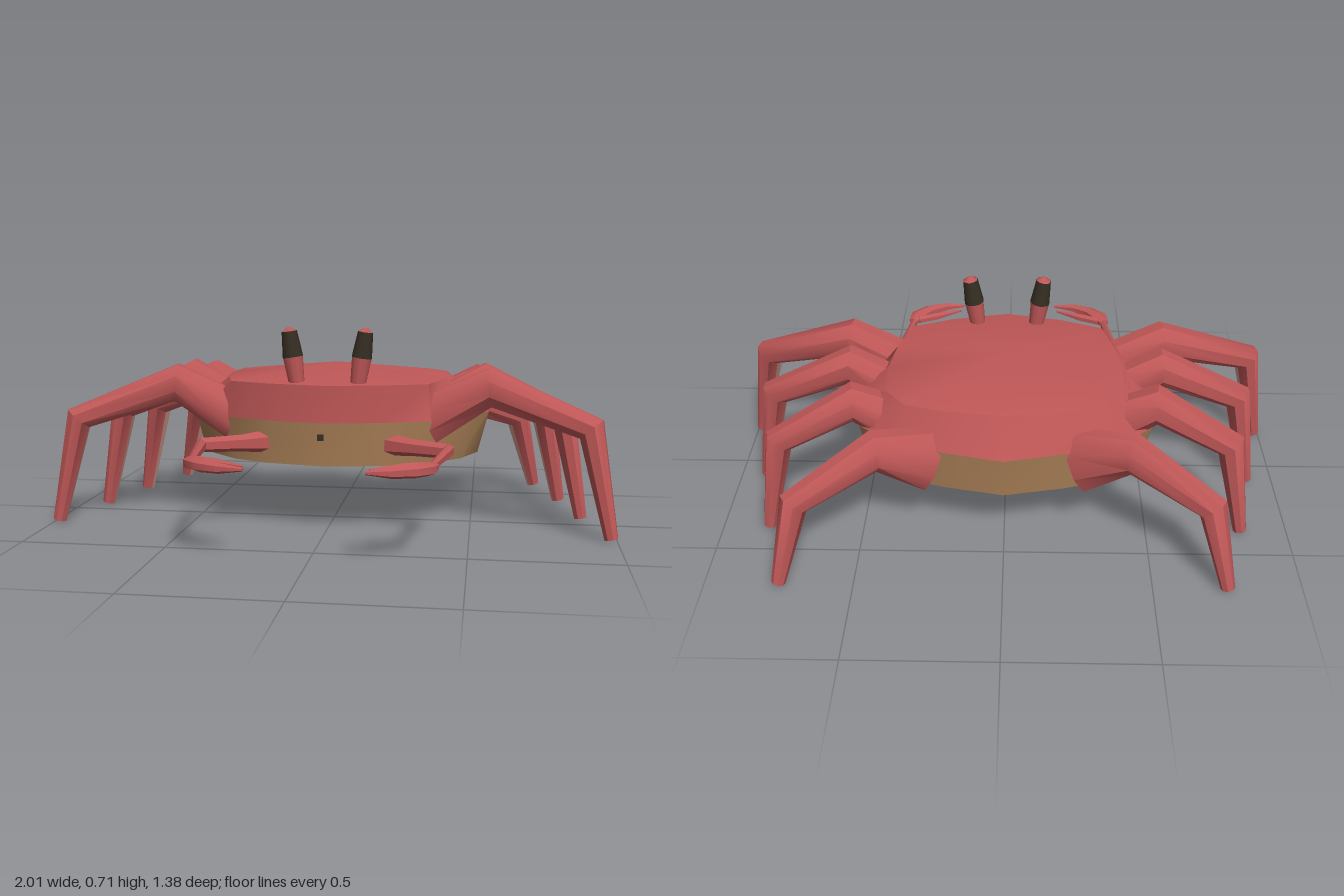
import * as THREE from 'three';
import { toCreasedNormals } from 'three/addons/utils/BufferGeometryUtils.js';

const mat = (name, color) => {
  const m = new THREE.MeshStandardMaterial({ color, side: THREE.DoubleSide });
  m.name = name;
  return m;
};
const V = (x, y, z) => new THREE.Vector3(x, y, z);

// Skin between rings of points (counter-clockwise about the direction of travel).
// Strip number `strip` of each ring takes the second material.
function loft(rings, { capStart = false, capEnd = false, strip = -1, crease = 0.75 } = {}) {
  const n = rings[0].length, main = [], second = [];
  for (let i = 0; i < rings.length - 1; i++) {
    for (let j = 0; j < n; j++) {
      const k = (j + 1) % n, a = rings[i], b = rings[i + 1];
      const out = j === strip ? second : main;
      if (a[j].distanceTo(a[k]) > 1e-6) out.push(a[j], a[k], b[k]);
      if (b[j].distanceTo(b[k]) > 1e-6) out.push(a[j], b[k], b[j]);
    }
  }
  const cap = (ring, flip) => {
    for (let j = 1; j < n - 1; j++) {
      main.push(ring[0], ring[flip ? j + 1 : j], ring[flip ? j : j + 1]);
    }
  };
  if (capStart) cap(rings[0], true);
  if (capEnd) cap(rings[rings.length - 1], false);
  const g = new THREE.BufferGeometry().setFromPoints([...main, ...second]);
  g.addGroup(0, main.length, 0);
  if (second.length) g.addGroup(main.length, second.length, 1);
  return toCreasedNormals(g, crease);
}

// Tapered limb through stations [x, y, z, halfWidth, halfHeight]; side = 1 or -1 mirrors x
function limb(stations, side, sides, opts = {}) {
  const pts = stations.map(([x, y, z]) => V(x * side, y, z));
  const last = pts.length - 1;
  const across = V(0, 1, 0).cross(pts[last].clone().sub(pts[0])).normalize();
  const rings = pts.map((p, i) => {
    const t = V(0, 0, 0);
    if (i > 0) t.add(p.clone().sub(pts[i - 1]).normalize());
    if (i < last) t.add(pts[i + 1].clone().sub(p).normalize());
    t.normalize();
    const u = across.clone().addScaledVector(t, -across.dot(t)).normalize();
    const v = t.clone().cross(u);
    const [, , , w, h] = stations[i];
    return Array.from({ length: sides }, (_, j) => {
      const a = ((j + 0.5) / sides) * Math.PI * 2;
      const q = p.clone().addScaledVector(u, Math.cos(a) * w).addScaledVector(v, Math.sin(a) * h);
      q.y = Math.max(q.y, 0);
      return q;
    });
  });
  return loft(rings, { capStart: true, capEnd: true, ...opts });
}

// Full body ring from the right half outline [x, z], front to back
function bodyRing(half, y) {
  const inner = half.slice(1, -1).reverse();
  return [...half.map(([x, z]) => V(x, y, z)), ...inner.map(([x, z]) => V(-x, y, z))];
}

export function createModel() {
  const red = mat('shell red', 0xbf5757);
  const tan = mat('belly tan', 0xa67d55);
  const dark = mat('eye dark', 0x352e22);
  const pale = mat('pale pink', 0xd39c90);
  const model = new THREE.Group();
  model.name = 'crab';
  const add = (name, geometry, material, parent = model) => {
    const m = new THREE.Mesh(geometry, material);
    m.name = name;
    parent.add(m);
    return m;
  };

  // Body: tan belly below, red shell above
  const low = bodyRing([[0, 0.24], [0.2, 0.2], [0.34, 0.14], [0.46, 0.02], [0.52, -0.12],
    [0.47, -0.29], [0.34, -0.4], [0.2, -0.44], [0, -0.48]], 0.237);
  const mid = bodyRing([[0, 0.252], [0.2, 0.21], [0.36, 0.15], [0.49, 0.02], [0.56, -0.12],
    [0.5, -0.3], [0.36, -0.41], [0.2, -0.45], [0, -0.495]], 0.39);
  const rim = bodyRing([[0, 0.25], [0.2, 0.208], [0.35, 0.15], [0.39, 0.01], [0.41, -0.13],
    [0.4, -0.28], [0.33, -0.36], [0.2, -0.395], [0, -0.42]], 0.52);
  const pole = y => low.map(() => V(0, y, -0.1));
  add('belly', loft([pole(0.205), low, mid]), tan);
  add('shell', loft([mid, rim, pole(0.57)]), red);
  const mouth = add('mouth', new THREE.BoxGeometry(0.022, 0.022, 0.008), dark);
  mouth.position.set(-0.015, 0.34, 0.248);

  // Walking legs, front to back: root, knee, ankle, foot
  const legs = [
    [[0.34, 0.38, 0.085, 0.065, 0.09], [0.565, 0.505, 0.095, 0.062, 0.072],
      [0.905, 0.38, 0.185, 0.05, 0.052], [0.98, 0.008, 0.215, 0.024, 0.024]],
    [[0.36, 0.38, -0.09, 0.065, 0.09], [0.55, 0.505, -0.09, 0.06, 0.072],
      [0.83, 0.38, -0.087, 0.048, 0.052], [0.9, 0.008, -0.085, 0.024, 0.024]],
    [[0.34, 0.37, -0.26, 0.065, 0.09], [0.52, 0.48, -0.285, 0.062, 0.072],
      [0.77, 0.36, -0.35, 0.048, 0.052], [0.835, 0.008, -0.375, 0.024, 0.024]],
    [[0.24, 0.33, -0.4, 0.06, 0.125], [0.43, 0.41, -0.47, 0.062, 0.075],
      [0.68, 0.3, -0.61, 0.048, 0.052], [0.75, 0.008, -0.67, 0.024, 0.024]],
  ];

  for (const side of [1, -1]) {
    const label = side > 0 ? 'left' : 'right';
    legs.forEach((stations, i) => {
      add(`${label}Leg${i + 1}`, limb(stations, side, 8, { strip: 5 }), [red, pale]);
    });

    // Claw arm with two fingers
    const arm = new THREE.Group();
    arm.name = `${label}ClawArm`;
    model.add(arm);
    add('upperArm', limb([[0.18, 0.31, 0.15, 0.045, 0.045], [0.3, 0.31, 0.225, 0.026, 0.03],
      [0.43, 0.31, 0.285, 0.022, 0.025]], side, 6), red, arm);
    add('forearm', limb([[0.428, 0.31, 0.27, 0.02, 0.025],
      [0.385, 0.31, 0.56, 0.012, 0.013]], side, 6), red, arm);
    add('outerFinger', limb([[0.392, 0.31, 0.545, 0.02, 0.014], [0.375, 0.31, 0.59, 0.034, 0.023],
      [0.335, 0.31, 0.635, 0.026, 0.022], [0.27, 0.31, 0.67, 0.018, 0.018],
      [0.19, 0.31, 0.682, 0.006, 0.006]], side, 6), red, arm);
    add('innerFinger', limb([[0.37, 0.31, 0.56, 0.016, 0.016], [0.3, 0.31, 0.59, 0.017, 0.016],
      [0.2, 0.31, 0.64, 0.004, 0.005]], side, 6), red, arm);

    // Eye on a stalk, leaning outward
    const eye = new THREE.Group();
    eye.name = `${label}Eye`;
    eye.position.set(0.105 * side, 0.5, 0.18);
    eye.rotation.z = -0.14 * side;
    model.add(eye);
    const ring = (name, r0, r1, y0, y1, material) => {
      const g = new THREE.CylinderGeometry(r1, r0, y1 - y0, 10);
      add(name, g, material, eye).position.y = (y0 + y1) / 2;
    };
    ring('stalk', 0.026, 0.035, 0, 0.113, red);
    ring('eyeball', 0.036, 0.027, 0.113, 0.203, dark);
    ring('eyeTip', 0.026, 0.005, 0.203, 0.217, red);
  }
  return model;
}
